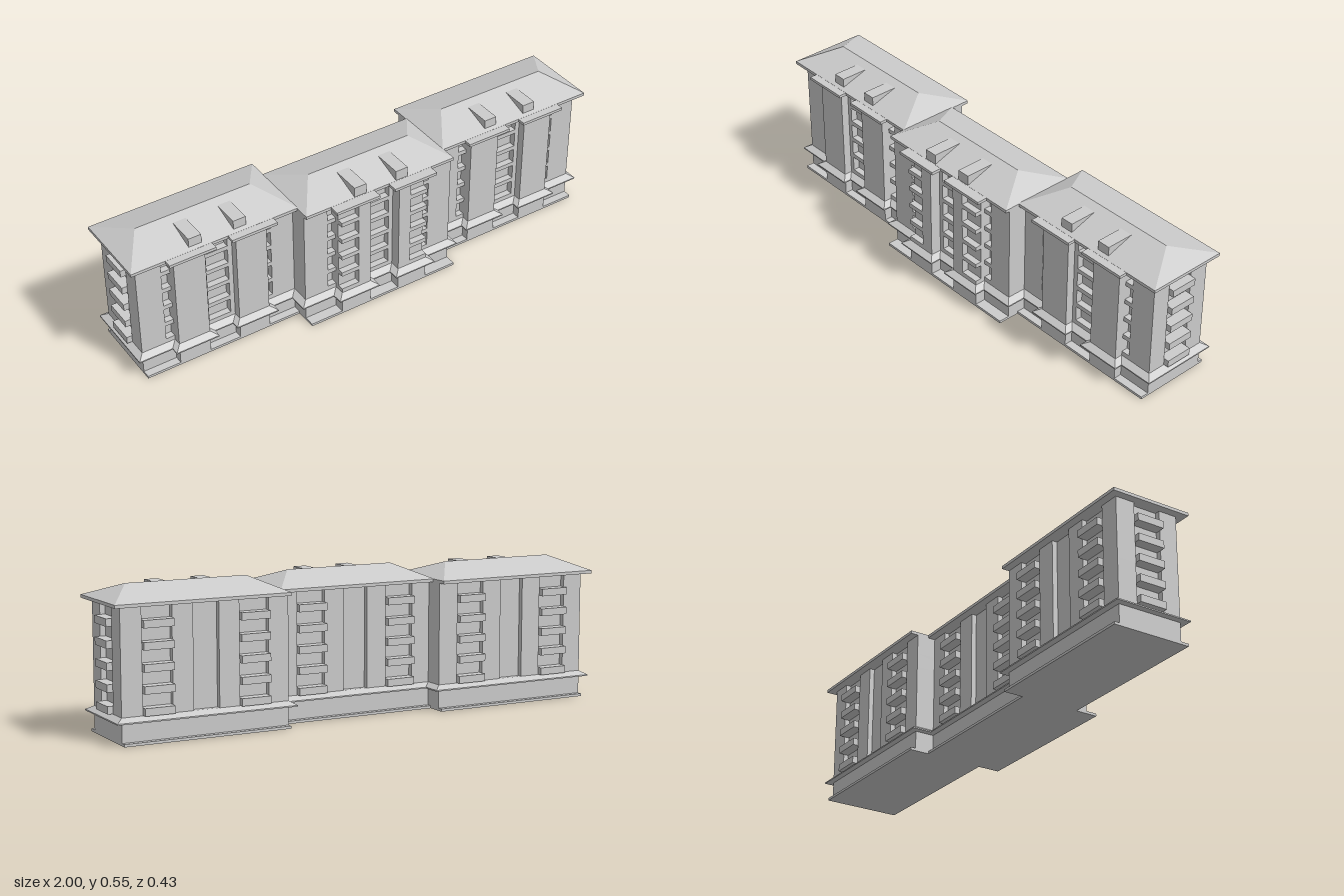
import * as THREE from 'three';

const mat = new THREE.MeshStandardMaterial({ color: 0xcccccc, flatShading: true });
const HALF = 0.325;            // half width of one building section
const BAY = [0.063, 0.19];     // projecting front bay, mirrored about the section centre
const BACK_NICHE = [0.13, 0.245];
const DEPTH = 0.258, RECESS = 0.026, FLOOR = 0.0775;

function add(parent, name, geometry) {
  const mesh = new THREE.Mesh(geometry, mat);
  mesh.name = name;
  parent.add(mesh);
  return mesh;
}

// Box between two corners; the top rectangle may be different from the bottom one.
function block(parent, name, [x0, x1, z0, z1], y0, y1, top = [x0, x1, z0, z1]) {
  const g = new THREE.BoxGeometry(1, 1, 1);
  const p = g.attributes.position;
  for (let i = 0; i < p.count; i++) {
    const up = p.getY(i) > 0;
    const r = up ? top : [x0, x1, z0, z1];
    p.setXYZ(i, p.getX(i) < 0 ? r[0] : r[1], up ? y1 : y0, p.getZ(i) < 0 ? r[2] : r[3]);
  }
  const flat = g.toNonIndexed();
  flat.computeVertexNormals();
  return add(parent, name, flat);
}

// Floor plan of half a section, from the front centre round to the back centre.
function halfPlan(s, level, end) {
  const [a, b] = BAY, bay = s.bay, open = level === 'open';
  const pts = [];
  if (open) pts.push([0, -RECESS], [0.045, -RECESS], [0.045, 0]);
  else pts.push([0, 0]);
  pts.push([a, 0], [a, bay]);
  // Corner loggia cut into the bay
  if (open && s.cornerLoggia) pts.push([0.115, bay], [0.115, bay - RECESS], [b, bay - RECESS]);
  else pts.push([b, bay]);
  // Narrow niche beside the bay
  if (open) pts.push([b, -RECESS], [0.225, -RECESS], [0.225, 0]);
  else pts.push([b, 0]);
  pts.push([HALF, 0]);
  if (end && level !== 'ground') {
    pts.push([HALF, -0.073], [HALF - 0.02, -0.073], [HALF - 0.02, -0.181], [HALF, -0.181]);
  }
  pts.push([HALF, -DEPTH]);
  if (level !== 'ground') {
    const [n0, n1] = BACK_NICHE, d = -DEPTH + 0.02;
    pts.push([n1, -DEPTH], [n1, d], [n0, d], [n0, -DEPTH]);
    pts.push([0.05, -DEPTH], [0.05, d], [0, d]);
  } else pts.push([0, -DEPTH]);
  return pts;
}

function wallLayer(parent, name, s, level, y0, y1) {
  const right = halfPlan(s, level, s.end > 0);
  const left = halfPlan(s, level, s.end < 0).slice(1, -1).reverse().map(([x, z]) => [-x, z]);
  const shape = new THREE.Shape([...right, ...left].map(([x, z]) => new THREE.Vector2(x, -z)));
  const g = new THREE.ExtrudeGeometry(shape, { depth: y1 - y0, bevelEnabled: false });
  g.rotateX(-Math.PI / 2);
  g.translate(0, y0, 0);
  add(parent, name, g);
}

const grow = ([x0, x1, z0, z1], d) => [x0 - d, x1 + d, z0 - d, z1 + d];

function section(s) {
  const g = new THREE.Group();
  g.name = s.name;
  const footprint = [-HALF, HALF, -DEPTH, 0];
  const bays = [-1, 1].map(m => {
    const xs = BAY.map(x => x * m).sort((p, q) => p - q);
    return [...xs, -0.05, s.bay];
  });

  // Base plate and ground floor
  block(g, 'basePlate', [-HALF, HALF, -DEPTH - 0.02, s.bay], 0, 0.01);
  wallLayer(g, 'groundFloor', s, 'ground', 0.01, 0.09);

  // Sloped ledge above the ground floor
  for (const r of [footprint, ...bays]) {
    block(g, 'ledgeEdge', grow(r, 0.025), 0.08, 0.085);
    block(g, 'ledgeSlope', grow(r, 0.025), 0.085, 0.1, r);
  }

  // Upper floors, alternating plain bands and bands with openings
  let y = 0.09;
  for (let k = 0; k < 5; k++) {
    const sill = 0.118 + k * FLOOR, head = sill + 0.06;
    wallLayer(g, 'wallBand', s, 'plain', y, sill);
    wallLayer(g, 'loggiaBand', s, 'open', sill, head);
    y = head;

    // Balconies on the back and on the free end
    const b0 = 0.101 + k * FLOOR, b1 = b0 + 0.028;
    for (const m of [-1, 1]) {
      const xs = BACK_NICHE.map(x => x * m).sort((p, q) => p - q);
      block(g, 'backBalcony', [...xs, -DEPTH - 0.021, -DEPTH + 0.02], b0, b1);
    }
    if (s.end) {
      const xs = [HALF - 0.02, HALF + 0.021].map(x => x * s.end).sort((p, q) => p - q);
      block(g, 'endBalcony', [...xs, -0.181, -0.073], b0, b1);
    }
  }

  // Eaves
  const x0 = -HALF - (s.end < 0 ? 0.03 : 0), x1 = HALF + (s.end > 0 ? 0.03 : 0);
  const roof = [x0, x1, -DEPTH - 0.03, s.roofFront];
  block(g, 'eaves', roof, 0.488, 0.5);
  for (const r of bays) {
    block(g, 'bayEaves', [r[0] - 0.03, r[1] + 0.03, -0.05, s.bayEaves], 0.488, 0.4995);
  }

  // Hipped roof
  const ridgeZ = (roof[2] + roof[3]) / 2;
  block(g, 'hippedRoof', roof, 0.5, 0.552, [x0 + 0.105, x1 - 0.105, ridgeZ, ridgeZ]);

  // Dormers
  for (const m of [-1, 1]) {
    const c = m * 0.091;
    block(g, 'dormer', [c - 0.026, c + 0.026, ridgeZ + 0.03, s.dormerFront], 0.5, 0.541);
  }

  g.position.set(s.x, 0, s.z);
  return g;
}

export function createModel() {
  const model = new THREE.Group();
  model.name = 'apartmentBuilding';
  const side = { z: 0.073, bay: 0.032, bayEaves: 0.063, roofFront: 0.032, dormerFront: 0.016 };
  model.add(section({ ...side, name: 'rightSection', x: -0.645, end: -1 }));
  model.add(section({ ...side, name: 'leftSection', x: 0.645, end: 1 }));
  model.add(section({
    name: 'middleSection', x: 0, z: 0.15, end: 0, bay: 0.043, bayEaves: 0.059,
    roofFront: 0.018, dormerFront: 0.016, cornerLoggia: true,
  }));
  return model;
}
